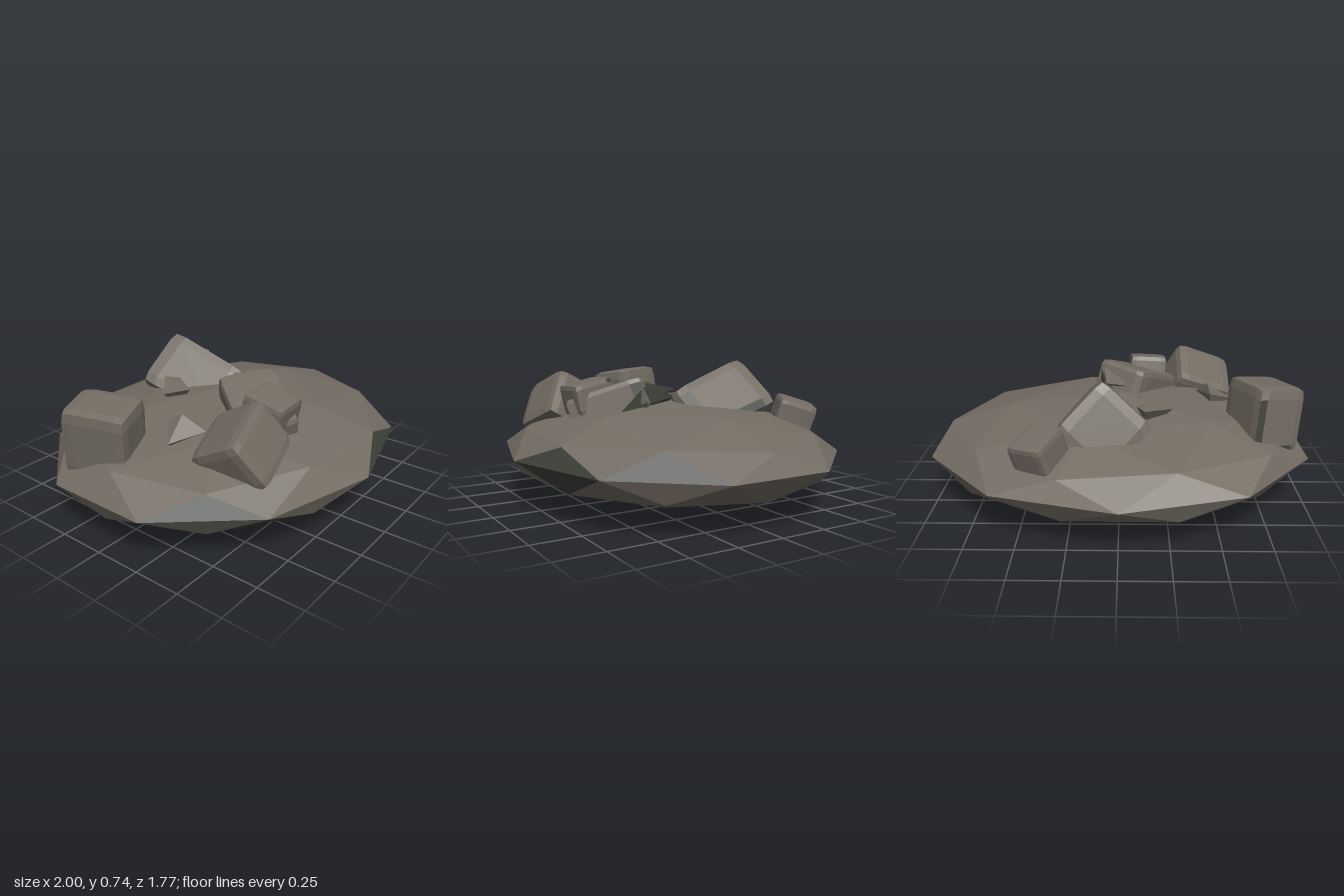
import * as THREE from 'three';
import { ConvexGeometry } from 'three/addons/geometries/ConvexGeometry.js';

const stone = new THREE.MeshStandardMaterial({ name: 'warmGreyStone', color: 0x736c63, flatShading: true });
const dark = new THREE.MeshStandardMaterial({ name: 'darkMossyStone', color: 0x3f423b, flatShading: true });
const rad = THREE.MathUtils.degToRad;

// Point from a compass angle, a radius and a height
const polar = (deg, r, y) => new THREE.Vector3(r * Math.cos(rad(deg)), y, r * Math.sin(rad(deg)));

// Flattened faceted dome, with a few dark facets
function makeMound() {
  const pts = [new THREE.Vector3(0, 1, 0), new THREE.Vector3(0, -1, 0)];
  for (let i = 0; i < 5; i++) {
    const a = i * 72;
    // Upper rings, then lower rings turned by half a step
    pts.push(polar(a, 0.56, 0.78), polar(a, 0.894, 0.38), polar(a + 36, 0.851, 0.45));
    pts.push(polar(a + 36, 0.526, -0.81), polar(a + 36, 0.894, -0.42), polar(a + 72, 0.851, -0.49));
    pts.push(polar(a + 18, 1, 0), polar(a + 54, 1, 0));
  }
  const geo = new ConvexGeometry(pts);
  // Centres of the dark facets
  const patches = [
    polar(72, 0.93, 0.127), polar(36, 0.918, 0.15), polar(144, 0.93, 0.127),
    polar(72, 0.918, -0.163), polar(126, 0.88, -0.303), polar(0, 0.567, -0.703),
    polar(-22.6, 0.722, -0.573), polar(239, 0.75, -0.573), polar(144, 0.284, -0.873),
  ];
  const p = geo.attributes.position;
  const c = new THREE.Vector3(), v = new THREE.Vector3();
  for (let i = 0; i < p.count; i += 3) {
    c.set(0, 0, 0);
    for (let k = 0; k < 3; k++) c.add(v.fromBufferAttribute(p, i + k));
    c.divideScalar(3);
    geo.addGroup(i, 3, patches.some((q) => q.distanceTo(c) < 0.08) ? 1 : 0);
  }
  geo.scale(1.05, 0.272, 0.885);
  geo.translate(0, 0.272, 0);
  geo.computeVertexNormals();
  const mesh = new THREE.Mesh(geo, [stone, dark]);
  mesh.name = 'mound';
  return mesh;
}

// Worn block: a 3x3x3 box with softened edges, an optional taper towards +z, and dark cells
function makeRock({ name, size, at, turn, taper = 0, cells = [] }) {
  const geo = new THREE.BoxGeometry(1, 1, 1, 3, 3, 3);
  const p = geo.attributes.position;
  for (let i = 0; i < p.count; i++) {
    const q = [p.getX(i), p.getY(i), p.getZ(i)].map((n) => (Math.abs(n) > 0.4 ? n : Math.sign(n) * 0.34));
    const outer = q.filter((n) => Math.abs(n) > 0.4).length;
    const f = [1, 1, 0.95, 0.91][outer];
    const t = f * (1 - taper * q[2]);
    p.setXYZ(i, q[0] * t * size[0], q[1] * t * size[1], q[2] * f * size[2]);
  }
  geo.clearGroups();
  for (let i = 0; i < 54; i++) geo.addGroup(i * 6, 6, cells.includes(i) ? 1 : 0);
  geo.computeVertexNormals();
  const mesh = new THREE.Mesh(geo, [stone, dark]);
  mesh.name = name;
  mesh.position.set(...at);
  mesh.rotation.set(...turn, 'YXZ');
  return mesh;
}

// Sharp splinter from a handful of corners
function makeShard(name, corners, material) {
  const mesh = new THREE.Mesh(new ConvexGeometry(corners.map((c) => new THREE.Vector3(...c))), material);
  mesh.name = name;
  return mesh;
}

export function createModel() {
  const group = new THREE.Group();
  group.name = 'rockPile';
  group.add(makeMound());

  // Blocks resting on the mound
  const rocks = [
    { name: 'tallLeftBlock', size: [0.27, 0.36, 0.33], at: [-0.76, 0.48, -0.165], turn: [0.06, 0.38, 0.12], cells: [48, 51, 52] },
    { name: 'frontLeftBlock', size: [0.34, 0.28, 0.3], at: [-0.45, 0.465, 0.435], turn: [-0.5, 0, 0.42] },
    { name: 'largeRidgeBlock', size: [0.34, 0.34, 0.52], at: [0.095, 0.455, -0.275], turn: [0.28, 0.1, 0.78], taper: 0.12, cells: [3, 6, 7] },
    { name: 'smallBackBlock', size: [0.2, 0.16, 0.21], at: [0.38, 0.455, -0.6], turn: [-0.3, -0.52, -0.1] },
    { name: 'middleSlab', size: [0.31, 0.18, 0.44], at: [-0.11, 0.515, 0.28], turn: [0.32, -0.62, 0.1], cells: [5, 8] },
    { name: 'smallFrontBlock', size: [0.21, 0.17, 0.23], at: [-0.16, 0.56, 0.4], turn: [0.2, 0.04, 0.05], cells: [2] },
  ];
  for (const rock of rocks) group.add(makeRock(rock));

  // Splinters between the blocks
  group.add(makeShard('darkShard', [[0.08, 0.56, -0.01], [0.15, 0.48, 0.38], [0.0, 0.5, 0.25], [0.11, 0.62, 0.2], [0.06, 0.42, 0.2]], dark));
  group.add(makeShard('paleShard', [[0.075, 0.6, -0.01], [-0.06, 0.56, 0.06], [0.09, 0.64, 0.18], [-0.02, 0.48, 0.25]], stone));
  group.add(makeShard('leftShard', [[-0.63, 0.47, 0.13], [-0.5, 0.53, 0.02], [-0.44, 0.49, 0.21], [-0.49, 0.57, 0.1], [-0.52, 0.38, 0.1]], stone));
  group.add(makeShard('centreSliver', [[-0.28, 0.53, -0.22], [-0.13, 0.56, -0.35], [-0.09, 0.56, -0.27], [-0.18, 0.55, -0.12], [-0.15, 0.42, -0.23]], stone));
  return group;
}
